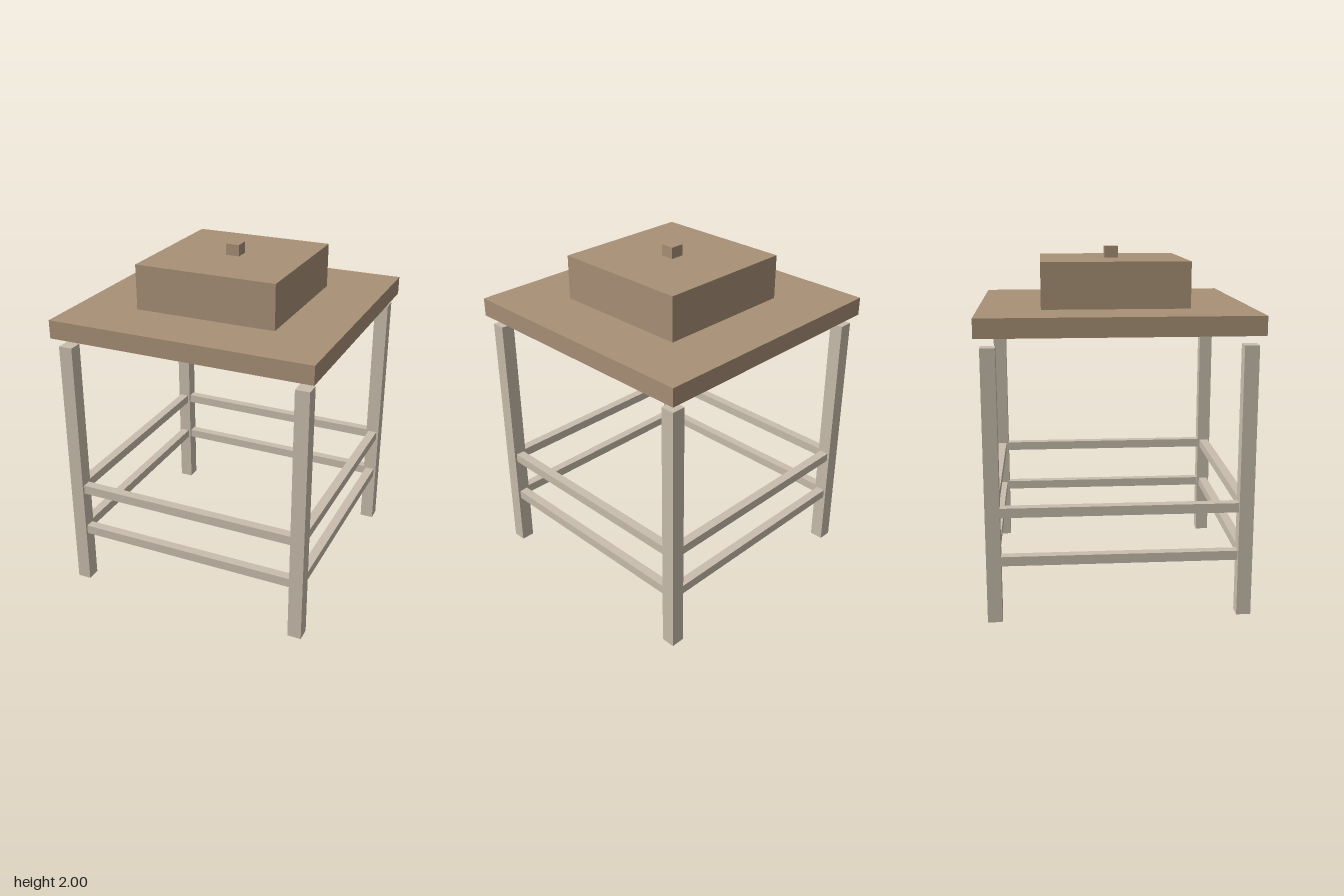
import * as THREE from 'three';

export function createModel() {
  const model = new THREE.Group();
  const wood = new THREE.MeshStandardMaterial({ color: 0xa89076 });
  wood.name = 'brown wood';
  const paleWood = new THREE.MeshStandardMaterial({ color: 0xc8bdac });
  paleWood.name = 'pale wood';

  // Box centred at x, z, spanning bottom to top
  function block(name, material, width, depth, bottom, top, x = 0, z = 0) {
    const mesh = new THREE.Mesh(new THREE.BoxGeometry(width, top - bottom, depth), material);
    mesh.name = name;
    mesh.position.set(x, (bottom + top) / 2, z);
    model.add(mesh);
  }

  // Stacked top: slab, raised block and small knob
  block('tableTop', wood, 1.52, 1.52, 1.573, 1.678);
  block('raisedBlock', wood, 0.824, 0.824, 1.678, 1.935);
  block('knob', wood, 0.08, 0.08, 1.935, 2);

  // Legs stop short of the top; two rails per side run between them
  const legOffset = 0.69, legWidth = 0.08, railWidth = 0.053;
  const railLength = 2 * legOffset - legWidth;
  for (const side of [-1, 1]) {
    for (const end of [-1, 1]) {
      block('leg', paleWood, legWidth, legWidth, 0, 1.52, side * legOffset, end * legOffset);
    }
    for (const bottom of [0.321, 0.597]) {
      const top = bottom + railWidth;
      block('crossRail', paleWood, railLength, railWidth, bottom, top, 0, side * legOffset);
      block('sideRail', paleWood, railWidth, railLength, bottom, top, side * legOffset, 0);
    }
  }

  return model;
}
